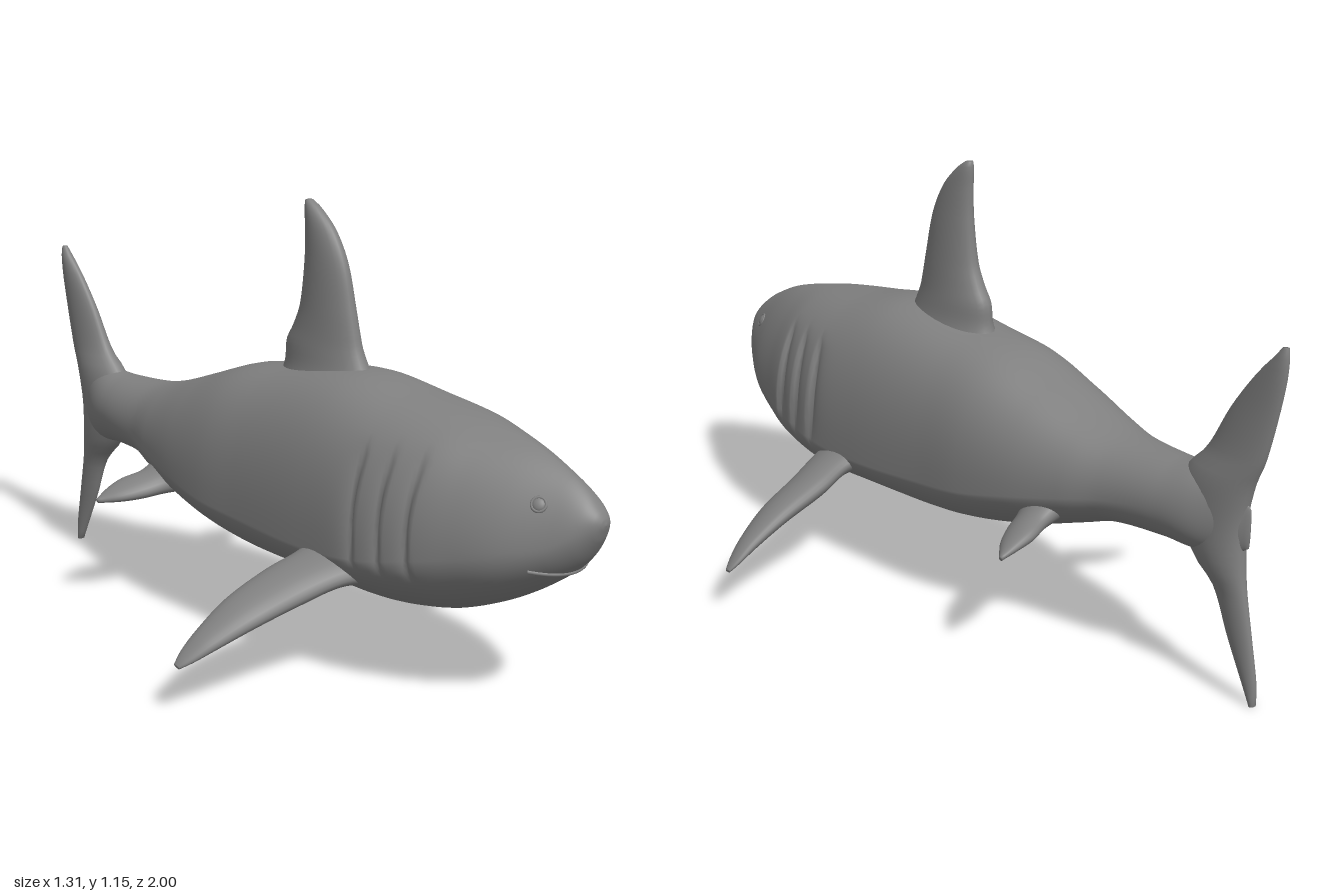
import * as THREE from 'three';

const material = new THREE.MeshStandardMaterial({ color: 0x808080 });

// Smooth interpolation of table rows; column 0 is the ascending key.
function sample(rows, key) {
  let i = 0;
  while (i < rows.length - 2 && key > rows[i + 1][0]) i++;
  const a = rows[i], b = rows[i + 1], h = b[0] - a[0];
  const t = Math.min(1, Math.max(0, (key - a[0]) / h));
  const p = rows[Math.max(0, i - 1)], q = rows[Math.min(rows.length - 1, i + 2)];
  return a.map((v, k) => {
    const m0 = (b[k] - p[k]) / (b[0] - p[0]) * h, m1 = (q[k] - v) / (q[0] - a[0]) * h;
    const t2 = t * t, t3 = t2 * t;
    return v * (2 * t3 - 3 * t2 + 1) + m0 * (t3 - 2 * t2 + t) + b[k] * (3 * t2 - 2 * t3) + m1 * (t3 - t2);
  });
}

// Skin a list of closed rings and cap both ends.
function loft(rings) {
  const n = rings[0].length, pos = rings.flat(2), index = [];
  for (let i = 0; i < rings.length - 1; i++) {
    for (let j = 0; j < n; j++) {
      const a = i * n + j, b = i * n + (j + 1) % n;
      index.push(a, a + n, b, b, a + n, b + n);
    }
  }
  const last = rings.length - 1;
  for (const r of [0, last]) {
    const c = pos.length / 3;
    pos.push(...[0, 1, 2].map(k => rings[r].reduce((s, p) => s + p[k], 0) / n));
    for (let j = 0; j < n; j++) {
      const a = r * n + j, b = r * n + (j + 1) % n;
      if (r === 0) index.push(c, a, b); else index.push(c, b, a);
    }
  }
  const g = new THREE.BufferGeometry();
  g.setAttribute('position', new THREE.Float32BufferAttribute(pos, 3));
  g.setIndex(index);
  g.computeVertexNormals();
  return g;
}

function mesh(name, geometry) {
  const m = new THREE.Mesh(geometry, material);
  m.name = name;
  return m;
}

// Body sections: z, half width, top, bottom, height of widest point,
// squareness of the back and of the belly
const BODY = [
  [-0.92, 0.004, 0.50, 0.40, 0.45, 2, 2],
  [-0.89, 0.022, 0.53, 0.38, 0.455, 2, 2],
  [-0.85, 0.046, 0.56, 0.362, 0.46, 2, 2],
  [-0.78, 0.080, 0.57, 0.355, 0.46, 2, 2],
  [-0.70, 0.100, 0.565, 0.36, 0.46, 2, 2],
  [-0.55, 0.128, 0.57, 0.35, 0.44, 2.1, 1.9],
  [-0.45, 0.162, 0.59, 0.315, 0.42, 2.2, 1.8],
  [-0.30, 0.205, 0.64, 0.26, 0.39, 2.3, 1.7],
  [-0.15, 0.230, 0.69, 0.22, 0.36, 2.4, 1.65],
  [0.00, 0.238, 0.712, 0.195, 0.345, 2.4, 1.65],
  [0.25, 0.252, 0.738, 0.19, 0.33, 2.4, 1.65],
  [0.45, 0.254, 0.71, 0.18, 0.34, 2.4, 1.7],
  [0.60, 0.235, 0.69, 0.20, 0.37, 2.2, 1.8],
  [0.70, 0.204, 0.672, 0.235, 0.39, 1.9, 1.9],
  [0.80, 0.166, 0.645, 0.285, 0.41, 1.65, 2],
  [0.90, 0.108, 0.60, 0.352, 0.435, 1.6, 2],
  [0.95, 0.072, 0.567, 0.40, 0.465, 1.7, 2],
  [0.985, 0.036, 0.532, 0.455, 0.492, 2, 2],
  [0.997, 0.016, 0.514, 0.486, 0.50, 2, 2],
  [1.00, 0.002, 0.502, 0.498, 0.50, 2, 2],
];
const GILLS = [0.43, 0.51, 0.59];

function bodyPoint(z, angle) {
  const [, w, top, bottom, cy, nBack, nBelly] = sample(BODY, z);
  const c = Math.cos(angle), s = Math.sin(angle), power = 2 / (s > 0 ? nBack : nBelly);
  let x = Math.sign(c) * w * Math.abs(c) ** power;
  const y = cy + Math.sign(s) * (s > 0 ? top - cy : cy - bottom) * Math.abs(s) ** power;
  // Gill slits: a sharp step behind each flap, fading out above and below
  const fade = Math.max(0, 1 - ((y - 0.47) / 0.15) ** 4);
  for (const g of GILLS) {
    const d = z - (g + 0.5 * (y - 0.47) ** 2);
    x -= Math.sign(c) * fade * 0.016 * Math.exp(d > 0 ? -((d / 0.008) ** 2) : d / 0.022);
  }
  return [x, y, z];
}

function bodyGeometry() {
  const rings = [], count = 260;
  for (let i = 0; i <= count; i++) {
    const u = i / count;
    const z = 1 - 1.92 * (u < 0.2 ? u * u * 1.25 : 0.05 + (u - 0.2) * 0.95 / 0.8);
    rings.push(Array.from({ length: 64 }, (_, j) => bodyPoint(z, j / 64 * Math.PI * 2)));
  }
  return loft(rings);
}

// Point on the front of the head at a given x, y
function headPoint(x, y) {
  let lo = 0.4, hi = 1;
  for (let i = 0; i < 30; i++) {
    const z = (lo + hi) / 2, [, w, top, bottom, cy, nBack, nBelly] = sample(BODY, z);
    const n = y > cy ? nBack : nBelly, height = y > cy ? top - cy : cy - bottom;
    if (Math.abs(x / w) ** n + Math.abs((y - cy) / height) ** n < 1) lo = z; else hi = z;
  }
  return new THREE.Vector3(x, y, lo);
}

// Fin with lens-shaped sections; at(row) gives section x, y, lead z, trail z,
// thickness vector and how far the leading edge dips
function finGeometry(rows, at, flip = false) {
  const rings = [], count = 36, k0 = rows[0][0], k1 = rows[rows.length - 1][0];
  for (let i = 0; i <= count; i++) {
    const f = at(sample(rows, k0 + (k1 - k0) * i / count));
    const ring = Array.from({ length: 24 }, (_, j) => {
      const a = j / 24 * Math.PI * 2, s = Math.sin(a), c = Math.cos(a);
      return [f.x + f.tx * s, f.y + f.ty * s - f.dip * c, (f.lead + f.trail) / 2 + (f.lead - f.trail) / 2 * c];
    });
    rings.push(flip ? ring.reverse() : ring);
  }
  return loft(rings);
}
const upright = ([y, lead, trail, t]) => ({ x: 0, y, lead, trail, tx: -t, ty: 0, dip: 0 });
const sideways = s => ([x, y, lead, trail, t]) =>
  ({ x: s * x, y, lead, trail, tx: s * t * 0.3, ty: t, dip: (lead - trail) * 0.1 });

// Upright fins: y, leading z, trailing z, half thickness
const DORSAL = [
  [0.66, 0.30, -0.06, 0.085], [0.72, 0.262, -0.034, 0.062], [0.78, 0.233, -0.028, 0.052],
  [0.82, 0.222, -0.005, 0.047], [0.88, 0.208, 0.02, 0.042], [1.0, 0.178, 0.036, 0.034],
  [1.08, 0.135, 0.037, 0.027], [1.13, 0.085, 0.034, 0.019], [1.15, 0.055, 0.036, 0.011],
];
const TAIL = [
  [0.0, -0.95, -0.965, 0.011], [0.05, -0.925, -0.965, 0.014], [0.16, -0.872, -0.945, 0.018],
  [0.28, -0.822, -0.92, 0.026], [0.34, -0.765, -0.91, 0.042], [0.45, -0.70, -0.905, 0.052],
  [0.56, -0.73, -0.925, 0.05], [0.62, -0.785, -0.95, 0.036], [0.74, -0.85, -0.98, 0.025],
  [0.84, -0.92, -0.998, 0.019], [0.89, -0.965, -1, 0.014], [0.912, -0.982, -0.998, 0.008],
];
// Paired fins: x, y, leading z, trailing z, half thickness
const PECTORAL = [
  [0.16, 0.30, 0.46, 0.23, 0.055], [0.25, 0.292, 0.42, 0.256, 0.036], [0.35, 0.263, 0.385, 0.24, 0.034],
  [0.48, 0.222, 0.352, 0.235, 0.028], [0.58, 0.175, 0.315, 0.24, 0.019], [0.63, 0.145, 0.29, 0.244, 0.011],
  [0.655, 0.128, 0.272, 0.252, 0.005],
];
const PELVIC = [
  [0.10, 0.37, -0.28, -0.44, 0.05], [0.18, 0.345, -0.33, -0.435, 0.03], [0.24, 0.333, -0.355, -0.452, 0.024],
  [0.29, 0.322, -0.386, -0.451, 0.016], [0.335, 0.31, -0.43, -0.442, 0.006],
];

// Eye: a rim with a small ball, set flush on the head
function makeEye(name, side) {
  const eye = new THREE.Group();
  eye.name = name;
  const p = headPoint(side * 0.086, 0.54), e = 0.01;
  const du = headPoint(p.x + e, p.y).sub(headPoint(p.x - e, p.y));
  const dv = headPoint(p.x, p.y + e).sub(headPoint(p.x, p.y - e));
  const rim = mesh('eyeRim', new THREE.TorusGeometry(0.017, 0.0035, 8, 24));
  const ball = mesh('eyeball', new THREE.SphereGeometry(0.015, 20, 12));
  ball.scale.z = 0.4;
  eye.add(rim, ball);
  eye.position.copy(p);
  eye.lookAt(p.clone().add(du.cross(dv)));
  return eye;
}

export function createModel() {
  const shark = new THREE.Group();
  shark.name = 'shark';
  shark.add(mesh('body', bodyGeometry()));
  shark.add(mesh('dorsalFin', finGeometry(DORSAL, upright)));
  shark.add(mesh('tailFin', finGeometry(TAIL, upright)));

  for (const [side, label] of [[1, 'left'], [-1, 'right']]) {
    shark.add(mesh(label + 'PectoralFin', finGeometry(PECTORAL, sideways(side), side < 0)));
    shark.add(mesh(label + 'PelvicFin', finGeometry(PELVIC, sideways(side), side < 0)));
    shark.add(makeEye(label + 'Eye', side));
  }

  // Mouth: a lip line wrapped around the underside of the snout
  const lip = Array.from({ length: 13 }, (_, i) => {
    const x = (i - 6) / 6 * 0.115;
    return headPoint(x, 0.369 + 1.1 * x * x);
  });
  shark.add(mesh('mouth', new THREE.TubeGeometry(new THREE.CatmullRomCurve3(lip), 48, 0.005, 8)));
  return shark;
}
